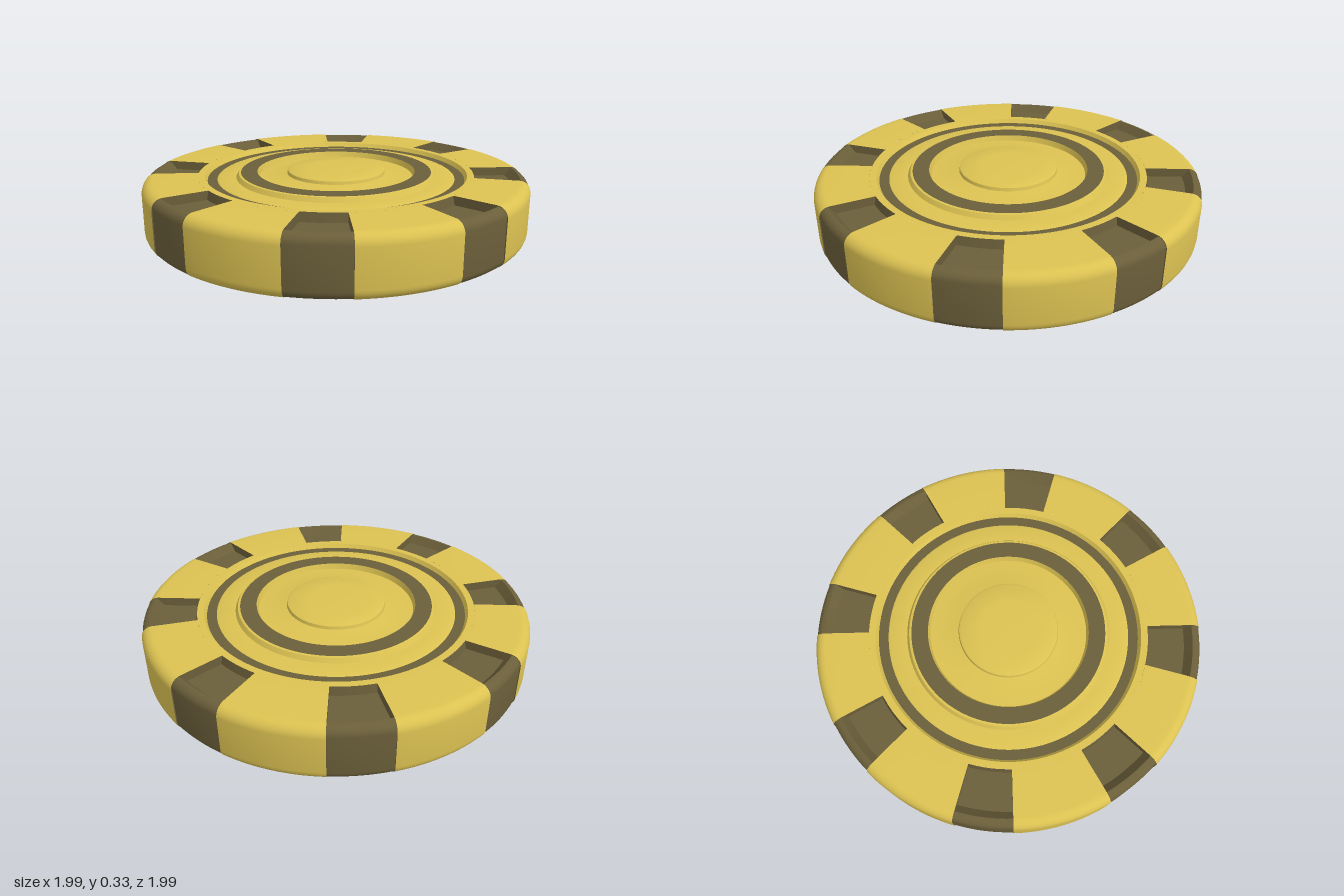
import * as THREE from 'three';
import { toCreasedNormals } from 'three/addons/utils/BufferGeometryUtils.js';

const MID = 0.165;            // height of the mirror plane
const TOP = 0.148;            // rim face, measured from the mirror plane
const COUNT = 8;
const STEP = (Math.PI * 2) / COUNT;
const HALF = 0.148;           // half angle of one notch

const gold = new THREE.MeshStandardMaterial({ color: 0xdcc252 });
const dark = new THREE.MeshStandardMaterial({ color: 0x6b5f3a });
const darkWall = new THREE.MeshStandardMaterial({ color: 0x6b5f3a, side: THREE.DoubleSide });

const mirror = (pts) => pts.map(([r, y]) => [r, -y]).reverse();

// Quarter round from the outer side up onto the face
function roundedEdge(radius, corner, y) {
  return Array.from({ length: 8 }, (_, i) => {
    const a = (i / 7) * Math.PI / 2;
    return [radius - corner + corner * Math.cos(a), y - corner + corner * Math.sin(a)];
  });
}

function lathe(name, pts, material, segments = 96, start = 0, length = Math.PI * 2) {
  const geo = new THREE.LatheGeometry(pts.map(([r, y]) => new THREE.Vector2(r, y)), segments, start, length);
  const mesh = new THREE.Mesh(toCreasedNormals(geo, 0.5), material);
  mesh.name = name;
  return mesh;
}

export function createModel() {
  const model = new THREE.Group();
  model.name = 'chip';
  const chip = new THREE.Group();
  chip.name = 'body';
  chip.position.y = MID;
  model.add(chip);

  // Profiles run from the outer edge inwards over the top half
  const rimTop = [...roundedEdge(1, 0.055, TOP), [0.72, TOP]];
  const rim = [...mirror(rimTop), ...rimTop];
  const insertTop = [...roundedEdge(0.995, 0.045, TOP - 0.004), [0.915, 0.103], [0.728, 0.103], [0.72, TOP]];
  const insert = [...mirror(insertTop), ...insertTop];
  const wallShape = new THREE.Shape(rim.map(([r, y]) => new THREE.Vector2(r, y)));
  const wallGeo = new THREE.ShapeGeometry(wallShape);

  // Rim blocks alternate with recessed edge inserts
  for (let i = 0; i < COUNT; i++) {
    const a = i * STEP;
    chip.add(lathe('rimBlock', rim, gold, 14, a + HALF, STEP - 2 * HALF));
    chip.add(lathe('edgeInsert', insert, dark, 8, a - HALF, 2 * HALF));
    for (const s of [-1, 1]) {
      const wall = new THREE.Mesh(wallGeo, darkWall);
      wall.name = 'notchWall';
      wall.rotation.y = a + s * HALF - Math.PI / 2;
      chip.add(wall);
    }
  }

  // Concentric rings, the same on both faces
  const rings = [
    ['innerRim', gold, [[0.72, TOP], [0.685, TOP], [0.672, 0.126]]],
    ['outerBand', dark, [[0.672, 0.126], [0.622, 0.126]]],
    ['recessFloor', gold, [[0.622, 0.126], [0.612, 0.13], [0.525, 0.13], [0.512, 0.152], [0.5, 0.154]]],
    ['innerBand', dark, [[0.5, 0.154], [0.415, 0.154]]],
    ['dish', gold, [[0.415, 0.154], [0.405, 0.125], [0.36, 0.127], [0.3, 0.133], [0.258, 0.14]]],
    ['centreDisc', gold, [[0.258, 0.14], [0.254, 0.156], [0.244, 0.161], [0.15, 0.164], [0, 0.165]]],
  ];
  for (const [name, material, pts] of rings) {
    chip.add(lathe(name + 'Top', pts, material));
    chip.add(lathe(name + 'Bottom', mirror(pts), material));
  }
  return model;
}
